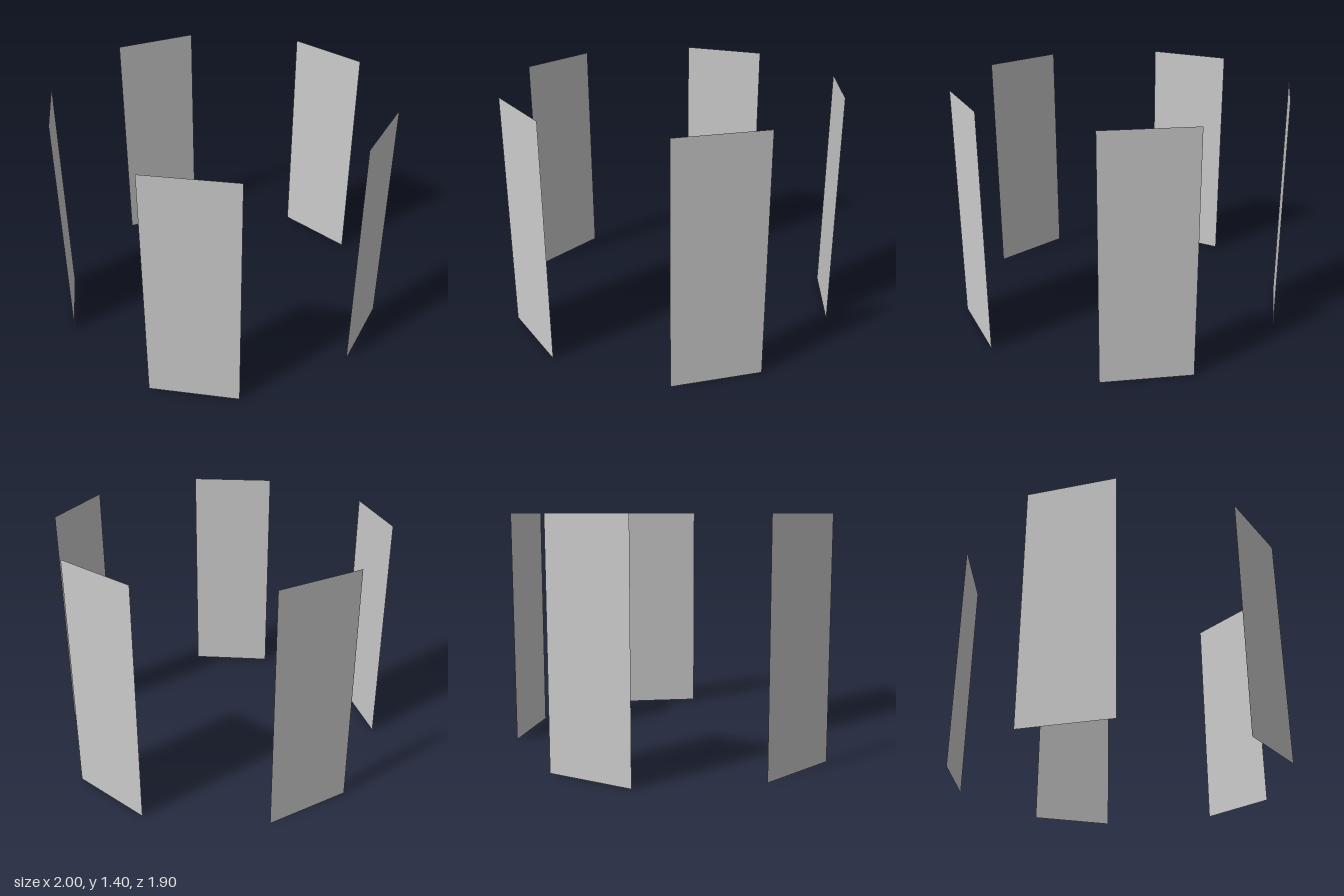
import * as THREE from 'three';

export function createModel() {
  const group = new THREE.Group();
  group.name = 'panelRing';

  const count = 5, radius = 0.967, width = 0.52, height = 1.405;
  const centreZ = 0.016;
  const material = new THREE.MeshStandardMaterial({ color: 0xcccccc, side: THREE.DoubleSide });
  const geometry = new THREE.PlaneGeometry(width, height);

  // Five thin upright panels facing outward, the first at the back
  for (let i = 0; i < count; i++) {
    const angle = Math.PI + (i * 2 * Math.PI) / count;
    const panel = new THREE.Mesh(geometry, material);
    panel.name = `panel${i + 1}`;
    panel.position.set(Math.sin(angle) * radius, height / 2, centreZ + Math.cos(angle) * radius);
    panel.rotation.y = angle;
    group.add(panel);
  }
  return group;
}
